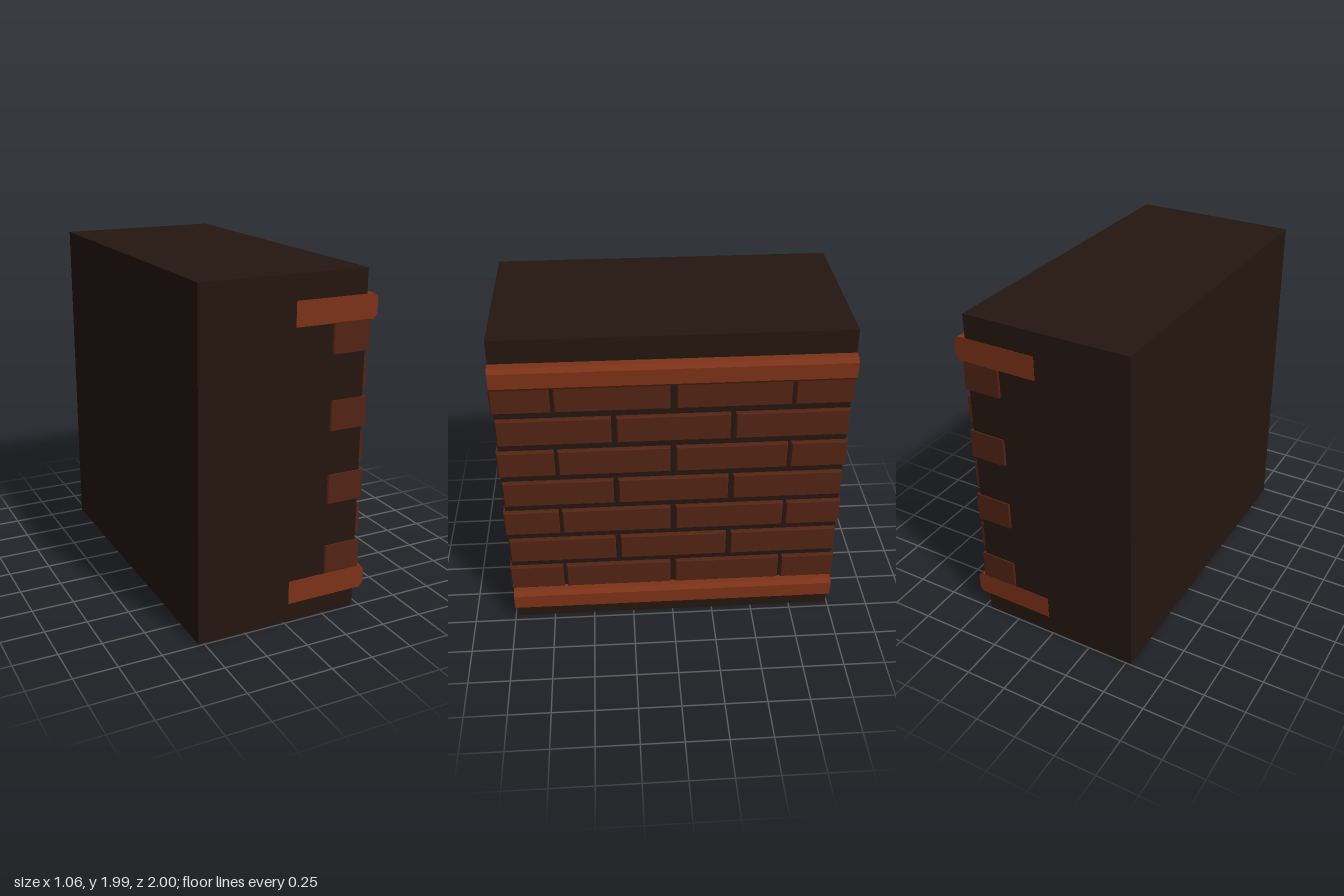
import * as THREE from 'three';

const mortarMat = new THREE.MeshStandardMaterial({ color: 0x25160f, flatShading: true });
const brickMat = new THREE.MeshStandardMaterial({ color: 0x532414, flatShading: true });
const trimMat = new THREE.MeshStandardMaterial({ color: 0x7d3218, flatShading: true });

// Adds a named mesh to a group
function add(group, name, geometry, material) {
  const mesh = new THREE.Mesh(geometry, material);
  mesh.name = name;
  group.add(mesh);
  return mesh;
}

// Brick with small chamfers, long side along z
function brickGeometry(x0, x1, height, length) {
  const c = 0.007;
  const w = length / 2 - c, h = height / 2 - c;
  const shape = new THREE.Shape([
    new THREE.Vector2(-w, -h), new THREE.Vector2(w, -h),
    new THREE.Vector2(w, h), new THREE.Vector2(-w, h),
  ]);
  const geometry = new THREE.ExtrudeGeometry(shape, {
    depth: x1 - x0 - 2 * c, bevelEnabled: true,
    bevelSize: c, bevelThickness: c, bevelSegments: 1,
  });
  return geometry.rotateY(Math.PI / 2).translate(x0 + c, 0, 0);
}

// Rail with chamfered outer edges, running the full length of the wall
function railGeometry() {
  const h = 0.07, c = 0.024, x0 = 0.03, x1 = 0.53, length = 1.983;
  const shape = new THREE.Shape([
    new THREE.Vector2(x0, -h), new THREE.Vector2(x1 - c, -h),
    new THREE.Vector2(x1, -h + c), new THREE.Vector2(x1, h - c),
    new THREE.Vector2(x1 - c, h), new THREE.Vector2(x0, h),
  ]);
  return new THREE.ExtrudeGeometry(shape, { depth: length, bevelEnabled: false })
    .translate(0, 0, -length / 2 - 0.002);
}

export function createModel() {
  const model = new THREE.Group();
  model.name = 'brickWall';

  // Solid core behind the bricks
  const core = add(model, 'wallCore', new THREE.BoxGeometry(0.99, 1.99, 1.98), mortarMat);
  core.position.set(-0.035, 0.995, -0.002);

  // Lower and upper trim rails
  const rail = railGeometry();
  add(model, 'lowerRail', rail, trimMat).position.y = 0.18;
  add(model, 'upperRail', rail, trimMat).position.y = 1.78;

  // Seven courses; every other one wraps the corners with half bricks
  const fullBrick = brickGeometry(0.255, 0.485, 0.17, 0.64);
  const cornerBrick = brickGeometry(0.255, 0.485, 0.17, 0.325);
  for (let row = 0; row < 7; row++) {
    const course = new THREE.Group();
    course.name = 'brickCourse' + (row + 1);
    course.position.y = 0.341 + row * 0.2147;
    if (row % 2 === 0) {
      for (const side of [1, -1]) {
        add(course, 'cornerBrick', cornerBrick, brickMat).position.z = side * 0.8375;
        add(course, 'brick', fullBrick, brickMat).position.z = side * 0.336;
      }
    } else {
      for (const z of [-0.668, 0, 0.668]) {
        add(course, 'brick', fullBrick, brickMat).position.z = z - 0.002;
      }
    }
    model.add(course);
  }
  return model;
}
